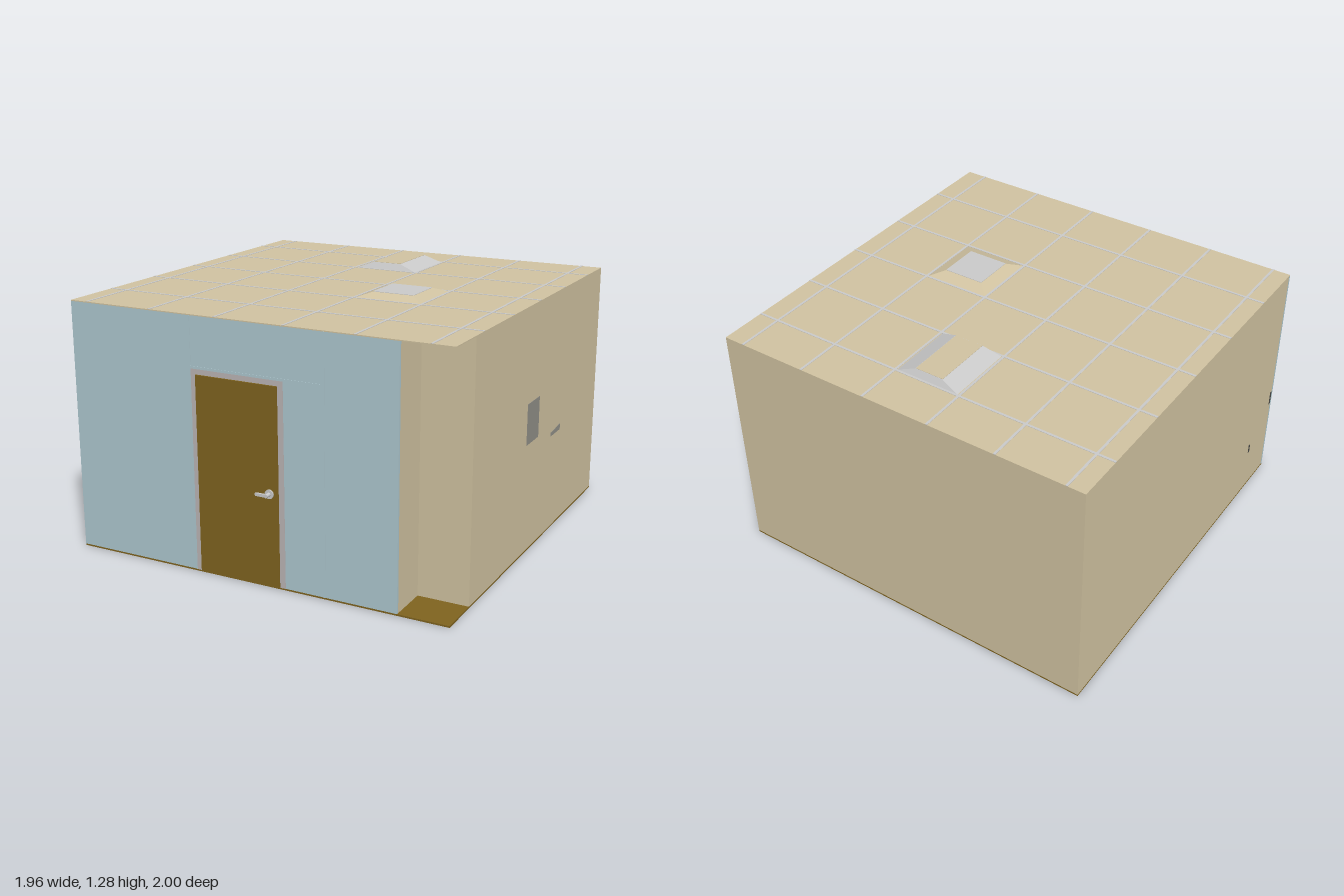
import * as THREE from 'three';

const mat = (color) => new THREE.MeshStandardMaterial({ color, side: THREE.DoubleSide, flatShading: true });

export function createModel() {
  const room = new THREE.Group();
  const tan = mat(0xd2c4a2), blue = mat(0xafc9d1), brown = mat(0x80641f), grey = mat(0xcccccc);
  const frameGrey = mat(0xbcb6b6), plateGrey = mat(0x929088), dark = mat(0x4a4a48);

  const add = (name, geometry, material) => {
    const mesh = new THREE.Mesh(geometry, material);
    mesh.name = name;
    room.add(mesh);
    return mesh;
  };
  // box given by its lower and upper corners
  const box = (name, material, x0, x1, y0, y1, z0, z1) => {
    const g = new THREE.BoxGeometry(x1 - x0, y1 - y0, z1 - z0);
    return add(name, g.translate((x0 + x1) / 2, (y0 + y1) / 2, (z0 + z1) / 2), material);
  };
  // box whose top rectangle is pulled in to a smaller one
  const hood = (name, material, x0, x1, y0, y1, z0, z1, insetX, insetZ) => {
    const mesh = box(name, material, x0, x1, y0, y1, z0, z1);
    const p = mesh.geometry.attributes.position;
    const cx = (x0 + x1) / 2, cz = (z0 + z1) / 2;
    for (let i = 0; i < p.count; i++) {
      if (p.getY(i) < (y0 + y1) / 2) continue;
      p.setX(i, p.getX(i) - Math.sign(p.getX(i) - cx) * insetX);
      p.setZ(i, p.getZ(i) - Math.sign(p.getZ(i) - cz) * insetZ);
    }
    mesh.geometry.computeVertexNormals();
  };

  const X = 0.98, BACK = -1, FRONT = 0.955, TOP = 1.24, T = 0.012;
  const NX = 0.73, NZ = 0.74; // recessed front corner

  // floor and ceiling cover the full rectangle
  box('floor', brown, -X, X, 0, 0.008, BACK, FRONT);
  box('ceiling', tan, -X, X, TOP - 0.005, TOP, BACK, FRONT);

  // walls
  const Y0 = 0.008, Y1 = TOP - 0.005;
  box('backWall', tan, -X, X, Y0, Y1, BACK, BACK + T);
  box('leftWall', tan, X - T, X, Y0, Y1, BACK + T, NZ);
  box('rightWall', tan, -X, -X + T, Y0, Y1, BACK + T, FRONT - T);
  box('recessSideWall', tan, NX - T, NX, Y0, Y1, NZ - T, FRONT - T);
  box('recessBackWall', tan, NX, X - T, Y0, Y1, NZ - T, NZ);

  // front wall with the doorway cut out
  const front = new THREE.Shape([[-X, Y0], [-0.285, Y0], [-0.285, 0.965], [0.14, 0.965], [0.14, Y0],
    [NX, Y0], [NX, Y1], [-X, Y1]].map(([x, y]) => new THREE.Vector2(x, y)));
  const frontGeo = new THREE.ExtrudeGeometry(front, { depth: T, bevelEnabled: false });
  add('frontWall', frontGeo.translate(0, 0, FRONT - T), blue);

  // slim mullions on the front wall
  const F = FRONT + 0.002;
  box('mullion', blue, -0.325, -0.313, Y0, Y1, FRONT, F);
  box('mullion', blue, 0.36, 0.375, Y0, Y1, FRONT, F);
  box('transom', blue, -0.313, 0.36, 0.99, 1.002, FRONT, F);

  // door frame, door and lever handle
  box('doorFrameSide', frameGrey, -0.313, -0.285, Y0, 0.99, FRONT - 0.02, F);
  box('doorFrameSide', frameGrey, 0.14, 0.168, Y0, 0.99, FRONT - 0.02, F);
  box('doorFrameHead', frameGrey, -0.285, 0.14, 0.965, 0.99, FRONT - 0.02, F);
  box('door', brown, -0.285, 0.14, 0.012, 0.965, FRONT - 0.005, 0.965);
  const disc = (name, r, z0, z1) => add(name,
    new THREE.CylinderGeometry(r, r, z1 - z0, 20).rotateX(Math.PI / 2).translate(0.097, 0.46, (z0 + z1) / 2), grey);
  disc('handleRose', 0.022, 0.965, 0.972);
  disc('handleStem', 0.009, 0.972, 1.0);
  box('handleLever', grey, 0.04, 0.097, 0.453, 0.467, 0.989, 0.999);

  // ceiling grid bars
  for (const x of [-0.888, -0.535, -0.183, 0.17, 0.522, 0.873])
    box('ceilingBar', grey, x - 0.006, x + 0.006, TOP, TOP + 0.002, BACK, FRONT);
  for (const z of [-0.762, -0.409, -0.057, 0.296, 0.649])
    box('ceilingBar', grey, -X, X, TOP, TOP + 0.002, z - 0.006, z + 0.006);

  // ceiling light housing with a pale centre
  hood('lightHousing', grey, -0.172, 0.16, TOP, 1.274, -0.756, -0.415, 0.09, 0.016);
  box('lightCentre', tan, -0.08, 0.068, 1.27, 1.2755, -0.738, -0.433);

  // air diffuser
  hood('airDiffuser', tan, 0.177, 0.515, TOP, 1.263, -0.05, 0.289, 0.063, 0.063);
  box('diffuserCap', grey, 0.24, 0.452, 1.26, 1.265, 0.013, 0.226);

  // plates on the side walls
  box('wallPanel', plateGrey, X - 0.01, X + 0.002, 0.56, 0.765, -0.09, 0.07);
  const shelf = new THREE.Shape([[0.285, 0.505], [0.42, 0.505], [0.42, 0.535], [0.285, 0.525]]
    .map(([x, y]) => new THREE.Vector2(x, y)));
  add('wallSlot', new THREE.ExtrudeGeometry(shelf, { depth: 0.006, bevelEnabled: false })
    .rotateY(Math.PI / 2).translate(X - 0.004, 0, 0), plateGrey);
  box('wallSwitch', dark, -X - 0.001, -X + 0.01, 0.44, 0.52, 0.925, 0.94);
  box('wallSwitch', dark, -X - 0.001, -X + 0.01, 0.245, 0.295, 0.72, 0.735);

  // inside: corner counter and bumper rails
  box('counterTop', grey, 0.55, X - T, 0.41, 0.44, 0.17, NZ - T);
  box('counterBase', tan, 0.6, X - T, 0.2, 0.41, 0.27, NZ - T);
  box('backRail', brown, -X + T, X - T, 0.44, 0.51, BACK + T, BACK + 0.03);
  box('sideRail', brown, -X + T, -X + 0.03, 0.44, 0.51, BACK + 0.03, FRONT - T);
  return room;
}
